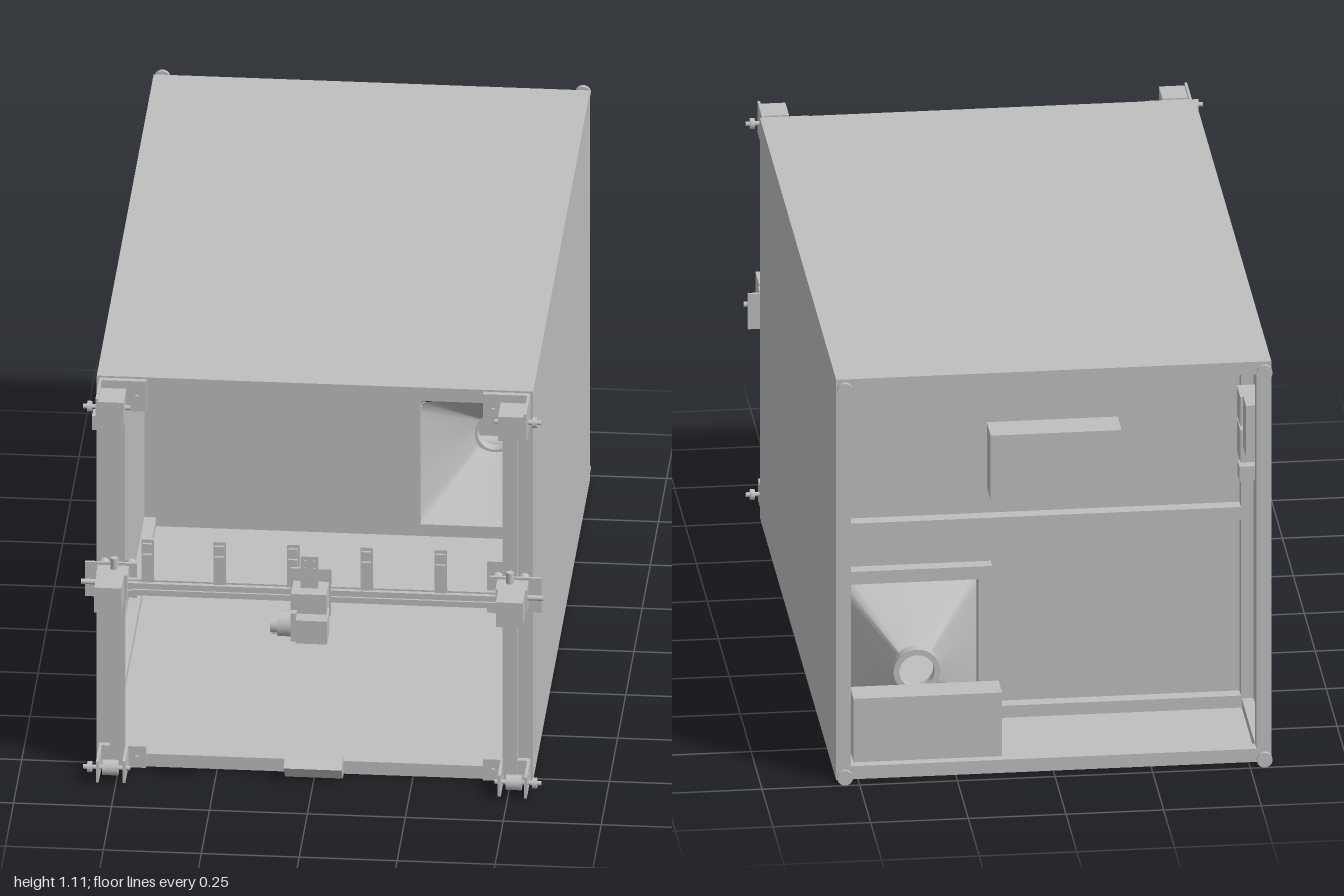
import * as THREE from 'three';

export function createModel() {
  const root = new THREE.Group();
  const grey = new THREE.MeshStandardMaterial({ color: 0xbfbfbf, side: THREE.DoubleSide });
  grey.name = 'lightGrey';

  const add = (name, geo, parent = root) => {
    const m = new THREE.Mesh(geo, grey);
    m.name = name;
    parent.add(m);
    return m;
  };
  // Box given by its limits on each axis
  const box = (name, x0, x1, y0, y1, z0, z1, parent = root) => {
    const m = add(name, new THREE.BoxGeometry(x1 - x0, y1 - y0, z1 - z0), parent);
    m.position.set((x0 + x1) / 2, (y0 + y1) / 2, (z0 + z1) / 2);
    return m;
  };
  // Cylinder centred at a point along an axis
  const rod = (name, axis, r, len, x, y, z, parent = root) => {
    const g = new THREE.CylinderGeometry(r, r, len, 24);
    if (axis === 'x') g.rotateZ(Math.PI / 2);
    if (axis === 'z') g.rotateX(Math.PI / 2);
    const m = add(name, g, parent);
    m.position.set(x, y, z);
    return m;
  };
  // Square bar with a groove in each side
  const slotRail = (name, axis, size, len, x, y, z) => {
    const h = size / 2, n = size * 0.14, d = h * 0.55, s = new THREE.Shape();
    for (let i = 0; i < 4; i++) {
      const c = Math.round(Math.cos(i * Math.PI / 2)), k = Math.round(Math.sin(i * Math.PI / 2));
      [[-h, -h], [-n, -h], [-n, -d], [n, -d], [n, -h]].forEach(([a, b], j) => {
        const p = [a * c - b * k, a * k + b * c];
        if (i + j === 0) s.moveTo(...p); else s.lineTo(...p);
      });
    }
    s.closePath();
    const g = new THREE.ExtrudeGeometry(s, { depth: len, bevelEnabled: false });
    g.translate(0, 0, -len / 2);
    if (axis === 'x') g.rotateY(Math.PI / 2);
    if (axis === 'y') g.rotateX(Math.PI / 2);
    add(name, g).position.set(x, y, z);
  };

  // Enclosure panels
  const W = 0.553, Z0 = -0.97, Z1 = 0.77;
  box('topPanel', -W, W, 1.1, 1.11, Z0, Z1);
  box('floorPanel', -W, W, 0.007, 0.017, Z0, Z1);
  for (const s of [-1, 1]) box('sidePanel', s * W - 0.004, s * W + 0.004, 0.007, 1.11, Z0, Z1);

  // Frame bars around both open ends and along the edges
  for (const [a, b] of [[Z0, Z0 + 0.035], [Z1 - 0.035, Z1]]) {
    box('topFrameBar', -W, W, 1.075, 1.107, a, b);
    box('bottomFrameBar', -W, W, 0.01, 0.043, a, b);
    for (const s of [-1, 1]) box('framePost', s * 0.535 - 0.016, s * 0.535 + 0.016, 0.01, 1.107, a, b);
  }
  for (const s of [-1, 1]) for (const y of [0.026, 1.091])
    box('longFrameBar', s * 0.535 - 0.016, s * 0.535 + 0.016, y - 0.016, y + 0.016, Z0, Z1);

  // Levelling feet on the rear corners
  for (const s of [-1, 1]) for (const y of [0.023, 1.09]) {
    rod('footStem', 'z', 0.008, 0.03, s * 0.537, y, -0.98);
    rod('footDisc', 'z', 0.02, 0.01, s * 0.537, y, -0.995);
  }

  // Inner dividing wall with funnel opening
  const rect = (P, x0, x1, y0, y1) => {
    const p = new P();
    p.moveTo(x0, y0); p.lineTo(x1, y0); p.lineTo(x1, y1); p.lineTo(x0, y1); p.closePath();
    return p;
  };
  const wall = rect(THREE.Shape, -W, W, 0.01, 1.105);
  wall.holes.push(rect(THREE.Path, 0.156, 0.506, 0.05, 0.4));
  add('dividerWall', new THREE.ExtrudeGeometry(wall, { depth: 0.008, bevelEnabled: false })).position.z = -0.598;
  const dz = [-0.633, -0.598];
  box('dividerTopRail', -W, W, 1.07, 1.105, ...dz);
  box('dividerMidRail', -W, W, 0.535, 0.57, ...dz);
  box('dividerBottomRail', -W, W, 0.015, 0.05, ...dz);
  box('funnelTopRail', 0.12, W, 0.402, 0.437, ...dz);
  box('funnelSideRail', 0.12, 0.155, 0.05, 0.402, ...dz);
  for (const s of [-1, 1]) box('dividerPost', s * 0.534 - 0.017, s * 0.534 + 0.017, 0.015, 1.1, ...dz);

  // Funnel from a rounded square to a round outlet
  const N = 64, cx = 0.331, cy = 0.225, pos = [], idx = [];
  for (let i = 0; i < N; i++) {
    const a = i / N * Math.PI * 2, c = Math.cos(a), s = Math.sin(a);
    const k = 0.175 / Math.pow(Math.abs(c) ** 24 + Math.abs(s) ** 24, 1 / 24);
    pos.push(cx + c * k, cy + s * k, -0.59, cx + c * 0.045, cy + s * 0.045, -0.78);
    const p = 2 * i, q = 2 * ((i + 1) % N);
    idx.push(p, p + 1, q, q, p + 1, q + 1);
  }
  const funnel = new THREE.BufferGeometry();
  funnel.setAttribute('position', new THREE.Float32BufferAttribute(pos, 3));
  funnel.setIndex(idx);
  funnel.computeVertexNormals();
  add('funnel', funnel);
  const ring = new THREE.LatheGeometry([[0.045, 0], [0.06, 0], [0.06, 0.03], [0.045, 0.03], [0.045, 0]]
    .map(p => new THREE.Vector2(...p)), 32).toNonIndexed();
  ring.computeVertexNormals();
  add('outletRing', ring.rotateX(Math.PI / 2)).position.set(cx, cy, -0.8);
  box('outletBracket', 0.22, 0.44, 0.13, 0.165, -0.82, -0.76);
  box('outletStand', 0.29, 0.37, 0.017, 0.13, -0.81, -0.77);
  rod('outletRoller', 'x', 0.018, 0.2, cx, 0.165, -0.84);

  // Equipment boxes in the rear bay
  box('upperEquipmentBox', -0.205, 0.13, 0.64, 0.82, -0.69, -0.6);
  box('lowerEquipmentBox', 0.13, 0.51, 0.045, 0.22, -0.95, -0.87);
  [[0.82, 0.96, -0.9, -0.83], [0.85, 0.93, -0.77, -0.69], [0.75, 0.84, -0.77, -0.69], [0.69, 0.73, -0.75, -0.71]]
    .forEach(([y0, y1, a, b]) => box('wallModule', -0.55, -0.5, y0, y1, a, b));

  // Front uprights, corner brackets, motors and axle ends
  for (const s of [-1, 1]) {
    const side = new THREE.Group();
    side.name = s > 0 ? 'leftUprightParts' : 'rightUprightParts';
    root.add(side);
    const b = (name, x0, x1, ...r) => box(name, Math.min(s * x0, s * x1), Math.max(s * x0, s * x1), ...r, side);
    slotRail('uprightRail', 'y', 0.036, 1.04, s * 0.501, 0.56, 0.795);
    b('topBracket', 0.43, 0.55, 1.02, 1.105, 0.77, 0.785);
    b('topMotor', 0.478, 0.545, 1.028, 1.097, 0.813, 0.895);
    b('topBracketSide', 0.543, 0.55, 1.02, 1.105, 0.77, 0.895);
    b('bottomBracket', 0.43, 0.55, 0.01, 0.07, 0.77, 0.785);
    b('bottomBracketSide', 0.543, 0.55, 0.01, 0.07, 0.77, 0.88);
    b('bottomBracketInner', 0.475, 0.483, 0.01, 0.07, 0.785, 0.875);
    for (const y of [1.062, 0.04]) {
      rod('axle', 'x', 0.006, 0.12, s * 0.525, y, 0.85, side);
      rod('axlePulley', 'x', 0.014, 0.012, s * 0.568, y, 0.85, side);
      rod('bracketBolt', 'z', 0.006, 0.008, s * 0.455, y, 0.788, side);
    }
    rod('idlerWheel', 'x', 0.02, 0.04, s * 0.515, 0.04, 0.85, side);

    // Carriage at each end of the cross beam
    b('endPlate', 0.45, 0.583, 0.51, 0.607, 0.815, 0.823);
    b('endBlock', 0.47, 0.55, 0.53, 0.6, 0.823, 0.88);
    b('beamMotor', 0.478, 0.547, 0.535, 0.605, 0.88, 0.965);
    for (const [x, y] of [[0.468, 0.53], [0.468, 0.59], [0.536, 0.53], [0.536, 0.59]])
      rod('guideWheel', 'z', 0.014, 0.02, s * x, y, 0.797, side);
    rod('sideShaft', 'x', 0.007, 0.05, s * 0.565, 0.565, 0.85, side);
    rod('tensionKnob', 'y', 0.01, 0.03, s * 0.505, 0.62, 0.85, side);
  }
  box('sensorPlate', 0.44, 0.48, 0.485, 0.63, 0.775, 0.783);
  box('limitSwitch', -0.565, -0.545, 0.98, 1.02, 0.78, 0.82);

  // Cross beam and its five mounting clips
  slotRail('crossBeam', 'x', 0.034, 0.95, 0, 0.555, 0.848);
  box('beamBelt', -0.46, 0.48, 0.553, 0.558, 0.868, 0.874);
  for (const x of [-0.42, -0.236, -0.048, 0.139, 0.328]) {
    box('clipPlate', x - 0.016, x + 0.016, 0.565, 0.693, 0.85, 0.857);
    box('clipFoot', x - 0.016, x + 0.016, 0.571, 0.578, 0.82, 0.857);
    for (const y of [0.645, 0.675]) box('clipBlock', x - 0.012, x + 0.012, y - 0.009, y + 0.009, 0.857, 0.865);
  }

  // Central tool carriage
  box('carriagePlate', -0.053, 0.05, 0.51, 0.64, 0.875, 0.883);
  box('carriageBody', -0.045, 0.045, 0.525, 0.605, 0.883, 0.96);
  box('carriageBackPlate', -0.045, 0.045, 0.51, 0.6, 0.79, 0.82);
  box('toolPlate', -0.024, 0.021, 0.6, 0.694, 0.915, 0.923);
  for (const x of [-0.013, 0.01]) for (const y of [0.66, 0.68]) rod('plateBolt', 'z', 0.004, 0.006, x, y, 0.925);
  box('toolMotor', -0.03, 0.05, 0.485, 0.55, 0.92, 1.0);
  box('toolMount', -0.045, -0.03, 0.48, 0.56, 0.88, 0.98);
  rod('toolDrum', 'x', 0.034, 0.035, -0.062, 0.515, 0.945);
  rod('toolDrumCap', 'x', 0.02, 0.02, -0.088, 0.51, 0.945);
  box('toolArm', -0.098, -0.03, 0.475, 0.487, 0.87, 0.93);

  // Sloped catch tray under the front edge
  const tray = new THREE.Shape();
  [[0, 0.06], [0.035, 0.06], [0.06, 0.045], [0.02, 0.003], [0, 0.003]]
    .forEach((p, i) => i ? tray.lineTo(...p) : tray.moveTo(...p));
  const trayGeo = new THREE.ExtrudeGeometry(tray, { depth: 0.148, bevelEnabled: false });
  trayGeo.rotateY(-Math.PI / 2);
  add('frontTray', trayGeo).position.set(0.073, 0, 0.77);

  return root;
}
